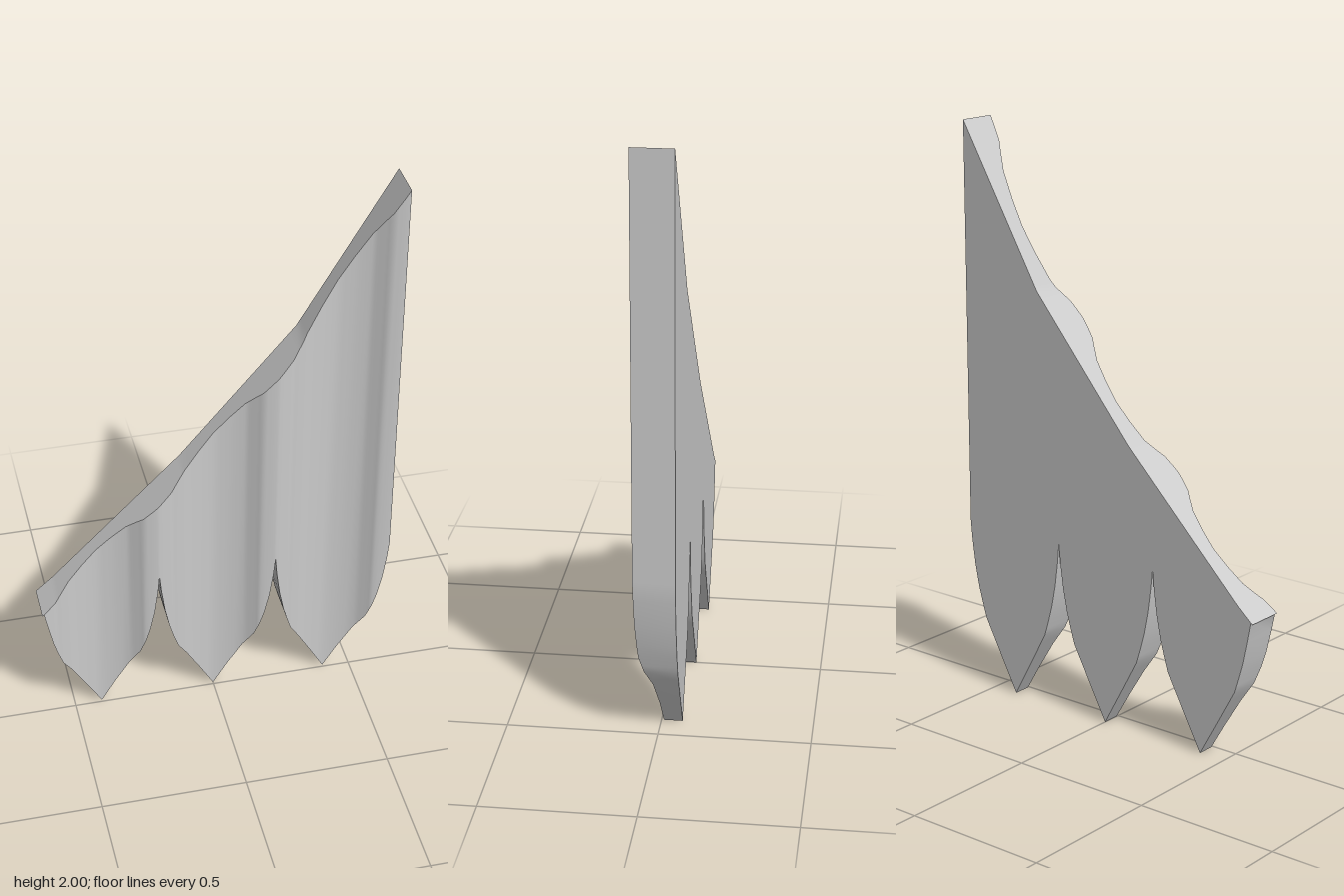
import * as THREE from 'three';

const HALF = 0.2025, BACK = -0.07;

// Piecewise-linear lookup in a list of [position, value] pairs
function lerpTable(table, p) {
  for (let i = 1; i < table.length; i++) {
    const [p0, v0] = table[i - 1], [p1, v1] = table[i];
    if (p <= p1) return v0 + (v1 - v0) * Math.max(0, (p - p0) / (p1 - p0));
  }
  return table[table.length - 1][1];
}

// Sloping upper edge (x, y); lower edge and front relief by distance from a feather's centre line
const UPPER = [[-0.6075, 0.5], [-0.55, 0.55], [-0.1, 1], [0.29, 1.46], [0.6075, 2]];
const LOWER = [[0, 0], [0.35, 0.13], [0.67, 0.25], [0.74, 0.295], [0.83, 0.36], [0.91, 0.44], [0.97, 0.53], [1, 0.6]];
const RELIEF = [[0, -0.008], [0.25, 0], [0.5, 0.015], [0.67, 0.04], [0.76, 0.055], [0.91, 0.063], [1, 0.066]];
const HALF_STEPS = [0, 0.12, 0.25, 0.35, 0.5, 0.57, 0.67, 0.71, 0.76, 0.83, 0.91, 0.97, 1];
const STEPS = [...HALF_STEPS.slice(1).reverse().map((t) => -t), ...HALF_STEPS];

// Smooth strip between two rows of points, facing front when a is below b
function ribbon(name, a, b, material) {
  const n = a.length, index = [];
  for (let i = 0; i < n - 1; i++) index.push(i, i + 1, n + i + 1, i, n + i + 1, n + i);
  const geometry = new THREE.BufferGeometry().setFromPoints([...a, ...b]);
  geometry.setIndex(index);
  geometry.computeVertexNormals();
  const mesh = new THREE.Mesh(geometry, material);
  mesh.name = name;
  return mesh;
}

export function createModel() {
  const group = new THREE.Group();
  group.name = 'featheredPanel';
  const material = new THREE.MeshStandardMaterial({ color: 0xcccccc });

  // Columns across each of the three feathers
  const feathers = [-1, 0, 1].map((k) => STEPS.map((t) => {
    const x = (k * 2 + t) * HALF, d = Math.abs(t);
    const top = lerpTable(UPPER, x);
    return { x, top, low: Math.min(top, lerpTable(LOWER, d)), z: lerpTable(RELIEF, d) };
  }));
  const columns = feathers.flatMap((f, i) => (i ? f.slice(1) : f));

  const topFront = (c) => new THREE.Vector3(c.x, c.top, c.z);
  const topBack = (c) => new THREE.Vector3(c.x, c.top, BACK);
  const lowFront = (c) => new THREE.Vector3(c.x, c.low, c.z);
  const lowBack = (c) => new THREE.Vector3(c.x, c.low, BACK);

  // Fluted front, flat back and sloping upper edge
  group.add(ribbon('flutedFront', columns.map(lowFront), columns.map(topFront), material));
  group.add(ribbon('flatBack', columns.map(topBack), columns.map(lowBack), material));
  group.add(ribbon('upperEdge', columns.map(topFront), columns.map(topBack), material));

  // Curved lower edges, split at each pointed tip
  const mid = HALF_STEPS.length - 1;
  feathers.forEach((f, i) => {
    [f.slice(0, mid + 1), f.slice(mid)].forEach((half, side) => {
      const back = half.map(lowBack), front = half.map(lowFront);
      // The outermost edge continues up as the straight side wall
      if (i === 2 && side === 1) {
        back.push(topBack(half[mid]));
        front.push(topFront(half[mid]));
      }
      group.add(ribbon(`featherEdge${i + 1}${side ? 'Left' : 'Right'}`, back, front, material));
    });
  });
  return group;
}
